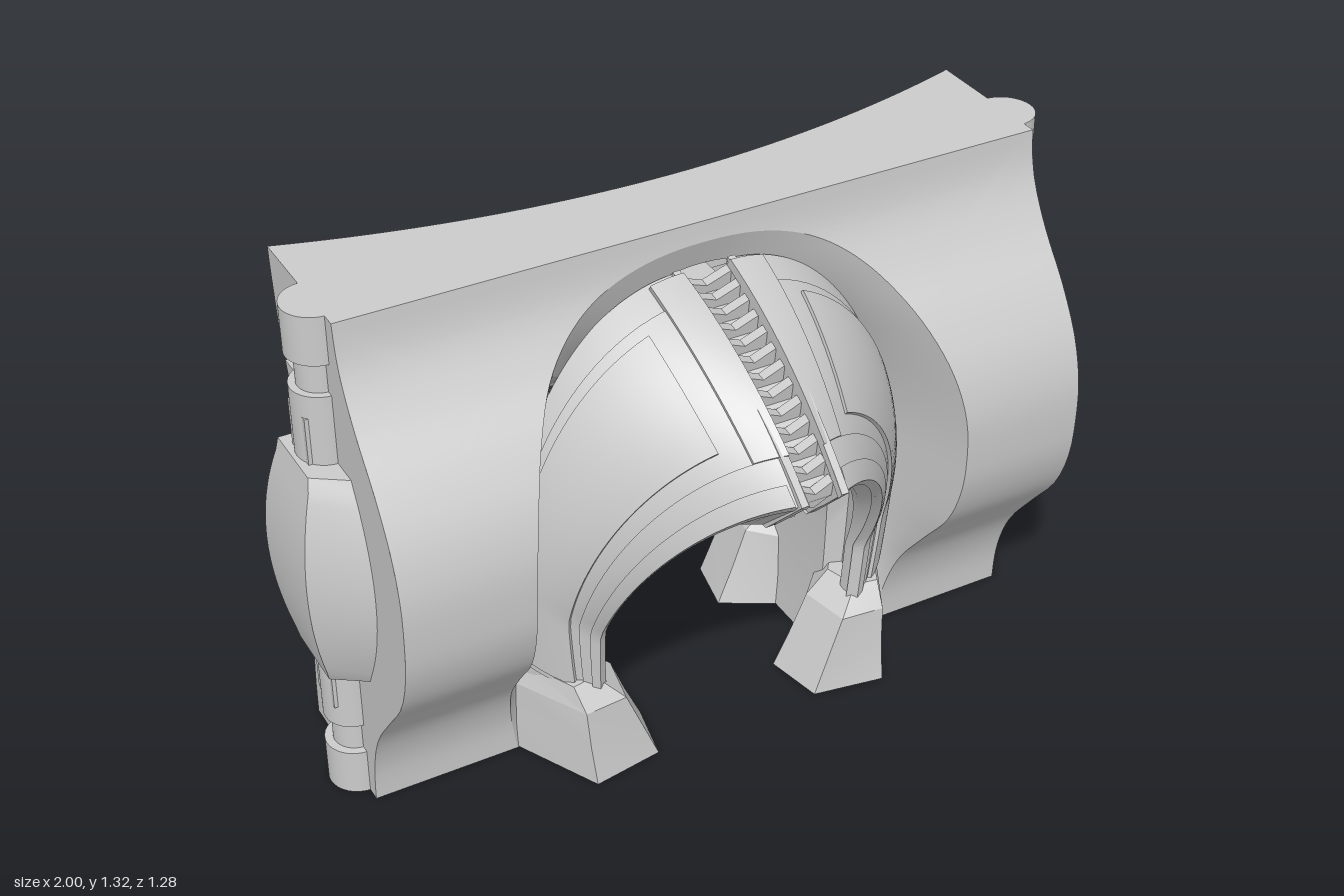
import * as THREE from 'three';
import { toCreasedNormals } from 'three/addons/utils/BufferGeometryUtils.js';

const H = 1.32, HALF = 0.88;
const mat = new THREE.MeshStandardMaterial({ color: 0xcccccc, side: THREE.DoubleSide });
const mesh = (name, geo) => {
  const m = new THREE.Mesh(geo, mat);
  m.name = name;
  return m;
};
const lerp = THREE.MathUtils.lerp, clamp = THREE.MathUtils.clamp;
const poly = (pts) => new THREE.Shape(pts.map((p) => new THREE.Vector2(...p)));
const extrude = (pts, depth) => new THREE.ExtrudeGeometry(poly(pts), { depth, bevelEnabled: false });

// grid surface from f(i, j) -> [x, y, z]
function surface(name, ni, nj, f, crease = 0.5) {
  const pos = [], idx = [];
  for (let i = 0; i <= ni; i++) for (let j = 0; j <= nj; j++) pos.push(...f(i, j));
  for (let i = 0; i < ni; i++) for (let j = 0; j < nj; j++) {
    const a = i * (nj + 1) + j, b = a + nj + 1;
    idx.push(a, a + 1, b, b, a + 1, b + 1);
  }
  const g = new THREE.BufferGeometry();
  g.setAttribute('position', new THREE.Float32BufferAttribute(pos, 3));
  g.setIndex(idx);
  return mesh(name, toCreasedNormals(g, crease));
}

// wall depth by height, evenly spaced from base to top
const depthBy = (values) => {
  const c = new THREE.SplineCurve(values.map((v, i) => new THREE.Vector2(i, v)));
  return (y) => c.getPoint(clamp(y / H, 0, 1)).y;
};
const front = depthBy([0.11, 0.12, 0.16, 0.24, 0.325, 0.367, 0.378, 0.373, 0.34, 0.275, 0.19, 0.13, 0.11]);
const backEnd = depthBy([0.25, 0.245, 0.232, 0.207, 0.18, 0.16, 0.152, 0.155, 0.17, 0.195, 0.225, 0.24, 0.25]);
const back = (x, y) => -(0.11 + (backEnd(y) - 0.11) * (x / HALF) ** 2);

// half arch: leaning leg below yc, rounded quarter above (pow < 1 is fuller)
const arch = (a, yc, b, foot, x0 = 0, pow = 1, peak = 0) => (t) => {
  if (t < 0.4) {
    const y = (yc * t) / 0.4;
    return [a - (a - foot) * ((yc - y) / yc) ** 2, y];
  }
  const k = (t - 0.4) / 0.6, q = (k * Math.PI) / 2;
  const c = Math.max(0, Math.cos(q)) ** pow, s = Math.sin(q) ** pow;
  return [x0 + (a - x0) * c, yc + b * lerp(s, k, peak)];
};
const nicheRim = arch(0.565, 0.62, 0.65, 0.51, 0, 0.87);
const nicheFloor = arch(0.5, 0.57, 0.63, 0.48);
const hoodRoot = arch(0.505, 0.57, 0.63, 0.48, 0.06);
const hoodLip = arch(0.345, 0.4, 0.49, 0.32, 0.04, 1, 0.3);
const gateEdge = arch(0.34, 0.38, 0.41, 0.32, 0.04);
const wallEdge = (t) => t < 0.6 ? [HALF, (H * t) / 0.6] : [HALF * (1 - t) / 0.4, H];
const rise = (t) => Math.max(0, (t - 0.4) / 0.6);

// outer skin of the hood: s runs from wall to lip, t from foot to crown
function hood(s, t, off = 0) {
  const [wx, wy] = hoodRoot(t), [lx, ly] = hoodLip(t);
  const k = rise(t), q = (k * Math.PI) / 2, c = Math.cos(q), n = Math.sin(q);
  const lz = 0.24 + 0.395 * (0.05 * Math.min(1, t / 0.4) ** 2 + 0.95 * k);
  const bez = (a, m, b) => a * (1 - s) ** 2 + 2 * s * (1 - s) * m + b * s * s;
  return [
    bez(wx, (wx + lx) / 2 + 0.07 * c * Math.min(1, t / 0.4), lx) + off * 0.8 * c * (t < 1 ? 1 : 0),
    bez(wy, (wy + ly) / 2 + 0.075 * n, ly) + off * 0.8 * n,
    bez(0.1, (0.1 + lz) / 2 + 0.035, lz) + off * 0.6,
  ];
}

// raised plate following the hood, with a skirt around it
function plate(name, s0, s1, t0, t1, off) {
  const ns = 12, nt = 32;
  return surface(name, nt + 2, ns + 2, (i, j) => {
    const edge = i === 0 || j === 0 || i === nt + 2 || j === ns + 2;
    return hood(lerp(s0, s1, clamp((j - 1) / ns, 0, 1)), lerp(t0, t1, clamp((i - 1) / nt, 0, 1)), edge ? -0.01 : off);
  });
}

// one quarter of the gate: hood leaf, plates and foot
function gateQuarter() {
  const g = new THREE.Group();
  g.name = 'gateQuarter';
  const S = 14;
  // sloped lip face, hollow underside, then the passage
  const under = (t, k) => {
    const [ox, oy0] = gateEdge(t), oy = Math.min(oy0, 0.76), lip = hood(1, t)[2] - 0.03 - 0.1 * rise(t);
    const mix = (w, lift) => {
      const r = hood(0.85 - w * 0.7, t);
      return [ox, oy, lerp(lip, 0.1, w)].map((v, n) => lerp(v, r[n], lift));
    };
    return [mix(0, 0), mix(0.12, 0), mix(0.14, 0.35), mix(0.76, 0.35), mix(0.8, 0), [ox, oy, 0]][k];
  };
  g.add(surface('hoodLeaf', 60, S + 6, (i, j) => j <= S ? hood(j / S, i / 60) : under(i / 60, j - S - 1)));
  g.add(plate('leafPlate', 0.14, 0.9, 0.2, 1, 0.007));
  g.add(plate('lipBand', 0.82, 1, 0.2, 1, 0.012));
  g.add(plate('lipEdge', 0.92, 1, 0.2, 0.97, 0.018));
  g.add(plate('crownBand', 0.02, 0.82, 0.93, 1, 0.018));
  g.add(plate('hoodPanel', 0.2, 0.74, 0.22, 0.88, 0.016));

  // crown rib closing the leaf beside the spine
  const rib = [[0, 0.76]];
  for (let j = 0; j <= S; j++) {
    const p = hood(j / S, 1, 0.012);
    rib.push([p[2], p[1]]);
  }
  rib.push([0.505, 0.76]);
  const r = mesh('crownRib', extrude(rib, 0.018));
  r.rotation.y = -Math.PI / 2 - 0.037;
  r.position.x = 0.083;
  g.add(r);

  // foot with chamfered top
  const loops = [
    [0, [0.4, 0.2], [0.4, 0.2], [0.4, 0.2], [0.4, 0.2], [0.4, 0.2]],
    [0, [0.51, 0.1], [0.4, 0.32], [0.22, 0.29], [0.19, 0.14], [0.33, 0.06]],
    [0.1, [0.51, 0.1], [0.405, 0.3], [0.26, 0.285], [0.235, 0.145], [0.34, 0.065]],
    [0.2, [0.51, 0.1], [0.41, 0.29], [0.3, 0.28], [0.275, 0.15], [0.35, 0.07]],
    [0.255, [0.49, 0.1], [0.42, 0.245], [0.36, 0.235], [0.335, 0.15], [0.38, 0.09]],
    [0.255, [0.4, 0.15], [0.4, 0.15], [0.4, 0.15], [0.4, 0.15], [0.4, 0.15]],
  ];
  g.add(surface('foot', 5, 5, (i, j) => {
    const [x, z] = loops[i][1 + (j % 5)];
    return [x, loops[i][0], z];
  }, 0.3));
  return g;
}

// half of the wall slab
function wallHalf() {
  const g = new THREE.Group();
  g.name = 'wallHalf';
  g.add(surface('wallFront', 60, 24, (i, j) => {
    const n = nicheRim(i / 60), e = wallEdge(i / 60), k = j / 24;
    const y = lerp(n[1], e[1], k);
    return [lerp(n[0], e[0], k), y, front(y)];
  }));
  g.add(surface('niche', 60, 6, (i, j) => {
    const n = nicheRim(i / 60), f = nicheFloor(i / 60), k = j / 6;
    return [lerp(f[0], n[0], k), lerp(f[1], n[1], k), lerp(0.09, front(n[1]), k)];
  }));
  // rows of the back, with two horizontal slots
  const rows = [];
  const band = (y0, y1, n, slot) => {
    for (let i = 0; i <= n; i++) rows.push([lerp(y0, y1, i / n), slot]);
  };
  band(0, 0.25, 6, false);
  band(0.25, 0.28, 1, true);
  band(0.28, 1.05, 20, false);
  band(1.05, 1.08, 1, true);
  band(1.08, H, 6, false);
  const inner = (y) => y > 1.04 ? 0 : y < 0.5 ? 0.42 : 0.42 * Math.sqrt(Math.max(0, 1 - ((y - 0.5) / 0.54) ** 2));
  g.add(surface('wallBack', rows.length - 1, 20, (i, j) => {
    const [y, slot] = rows[i], x = lerp(inner(y), HALF, j / 20);
    return [x, y, slot ? -0.1 : back(x, y)];
  }));
  g.add(surface('wallEnd', rows.length - 1, 1, (i, j) => {
    const [y, slot] = rows[i];
    return [HALF, y, j ? front(y) : slot ? -0.1 : back(HALF, y)];
  }));
  g.add(surface('wallTop', 20, 1, (i, j) => [HALF * i / 20, H, j ? 0.11 : back(HALF * i / 20, H)]));
  g.add(surface('wallBase', 20, 1, (i, j) => {
    const x = lerp(0.33, HALF, i / 20);
    return [x, 0, j ? 0.11 : back(x, 0)];
  }));
  return g;
}

// hinge post on the end of the wall
function endPost() {
  const g = new THREE.Group();
  g.name = 'endPost';
  for (const f of [(y) => y, (y) => H - y]) {
    const drum = (name, r, a, b) => {
      const m = mesh(name, new THREE.CylinderGeometry(r, r, b - a, 32));
      m.position.set(0.875, f((a + b) / 2), 0);
      g.add(m);
    };
    drum('postCap', 0.075, 0, 0.12);
    drum('postNeck', 0.055, 0.12, 0.2);
    drum('postDrum', 0.072, 0.2, 0.4);
    const p = mesh('drumPanel', new THREE.BoxGeometry(0.06, 0.125, 0.095));
    p.position.set(0.908, f(0.32), 0);
    g.add(p);
  }
  // bowed shield with bevelled ends
  const n = 20;
  g.add(surface('shield', n + 4, 4, (i, j) => {
    const k = clamp((i - 2) / n, 0, 1), b = 1 - (2 * k - 1) ** 2, end = i < 2 ? -1 : i > n + 2 ? 1 : 0;
    const y = lerp(0.415, 0.915, k) + 0.03 * end;
    if (i === 0 || i === n + 4) return [0.9, y, 0.03];
    const e = end ? 0.015 : 0, x = 0.965 + 0.034 * b - e / 2, zb = -0.085 - 0.032 * b;
    const [px, pz] = [[0.87, zb], [x, zb], [x, 0.105 + 0.02 * b - e], [0.87, 0.165 + 0.07 * b - e], [0.87, zb]][j];
    return [px, y, pz];
  }, 0.4));
  return g;
}

// ribbed spine between the leaves
function spine() {
  const g = new THREE.Group();
  g.name = 'spine';
  const side = [];
  for (let j = 0; j <= 12; j++) {
    const p = hood(j / 12 * 0.92, 1);
    side.push([p[2], p[1] - 0.055]);
  }
  side.push([0.49, 0.79], [0.1, 0.762]);
  const core = mesh('spineCore', extrude([...side, ...side.map(([z, y]) => [-z, y]).reverse()], 0.12));
  core.rotation.y = -Math.PI / 2;
  core.position.x = 0.06;
  g.add(core);
  const w = 0.043;
  const ribGeo = extrude([[-w, -0.01], [0, -0.035], [w, -0.01], [w, 0.03], [0, 0.005], [-w, 0.03]], 0.024);
  const tipGeo = extrude([[-0.04, 0.86], [-0.006, 0.77], [0.006, 0.77], [0.04, 0.86]], 0.09);
  for (const s of [1, -1]) {
    const half = new THREE.Group();
    half.name = 'spineRibs';
    half.scale.z = s;
    for (let i = 0; i < 13; i++) {
      const k = 0.04 + i * 0.074, p = hood(k, 1), rib = mesh('spineRib', ribGeo);
      rib.position.set(0, p[1] - 0.035, p[2] - 0.026);
      rib.rotation.x = 0.15;
      rib.scale.x = lerp(1.45, 1, k);
      half.add(rib);
    }
    // pointed end under the lip
    const tip = mesh('spineTip', tipGeo);
    tip.position.z = 0.42;
    half.add(tip);
    g.add(half);
  }
  return g;
}

export function createModel() {
  const model = new THREE.Group();
  model.name = 'gateWall';
  for (const sx of [1, -1]) {
    for (const part of [wallHalf(), endPost()]) {
      part.scale.x = sx;
      model.add(part);
    }
    for (const sz of [1, -1]) {
      const q = gateQuarter();
      q.scale.set(sx, 1, sz);
      model.add(q);
    }
  }
  model.add(spine());
  return model;
}
